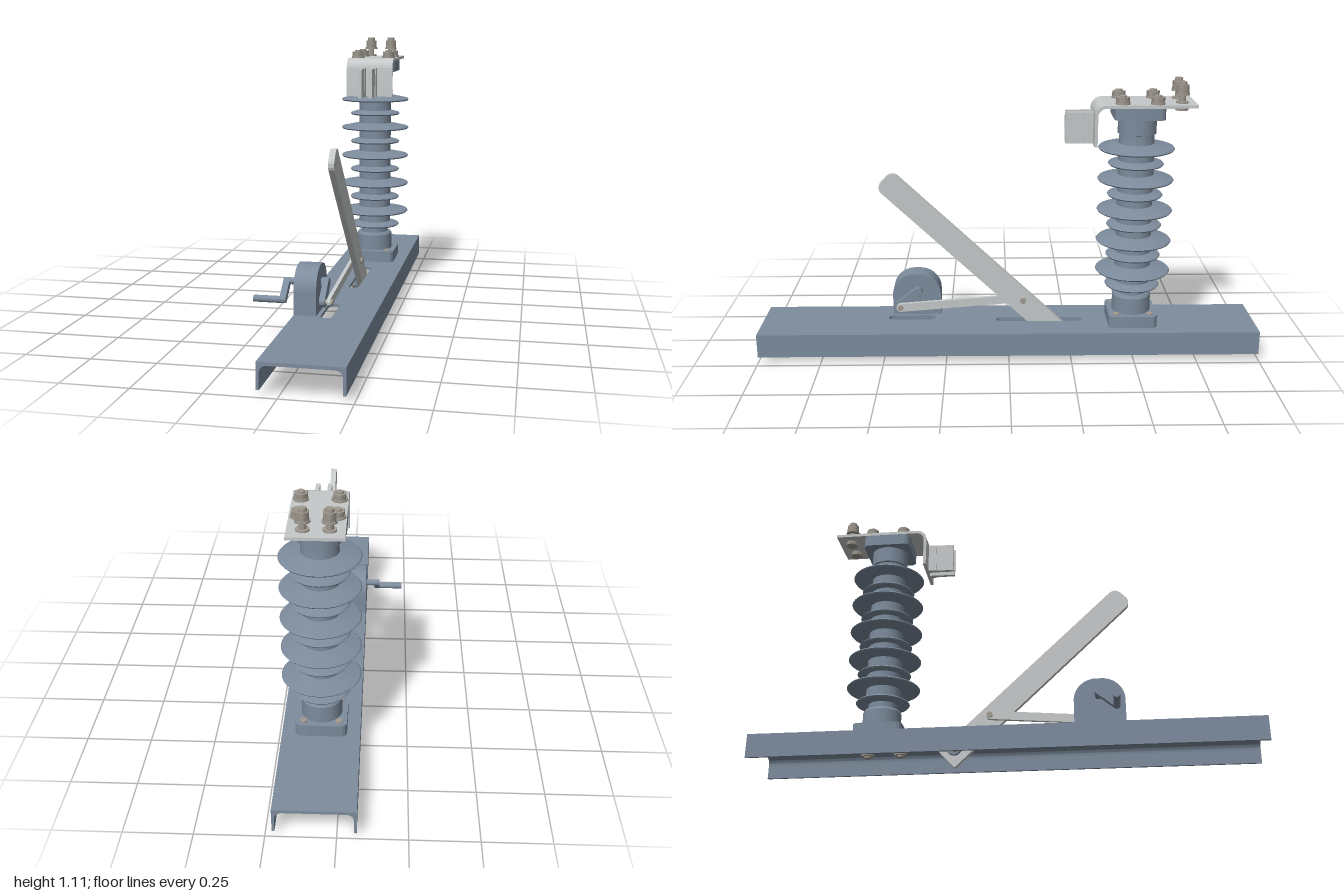
import * as THREE from 'three';
import { toCreasedNormals } from 'three/addons/utils/BufferGeometryUtils.js';

const mat = (name, color) => Object.assign(new THREE.MeshStandardMaterial({ color }), { name });

export function createModel() {
  const root = new THREE.Group();
  root.name = 'disconnectSwitch';
  const blue = mat('blueGreyPaint', 0x7d8c9d);
  const light = mat('lightMetal', 0xc6c9ca);
  const steel = mat('boltSteel', 0xa09a90);
  const CX = 0.0775, IZ = -0.5; // channel centre line, insulator position

  const add = (name, geo, material, x = 0, y = 0, z = 0, parent = root) => {
    const m = new THREE.Mesh(geo, material);
    m.name = name;
    m.position.set(x, y, z);
    parent.add(m);
    return m;
  };
  const extrude = (shape, depth) => {
    const g = new THREE.ExtrudeGeometry(shape, { depth, bevelEnabled: false, curveSegments: 12 });
    g.translate(0, 0, -depth / 2);
    return toCreasedNormals(g, 0.6);
  };
  // shape (z, y) extruded along x; shape (x, z) extruded along y
  const alongX = (shape, w) => extrude(shape, w).rotateY(-Math.PI / 2);
  const alongY = (shape, h) => extrude(shape, h).rotateX(Math.PI / 2);
  // rectangle with a radius for the low-y corners and one for the high-y corners
  const roundRect = (x0, y0, x1, y1, ra, rb = ra, P = THREE.Shape) => {
    const s = new P();
    s.moveTo(x0 + ra, y0);
    s.lineTo(x1 - ra, y0);
    if (ra) s.absarc(x1 - ra, y0 + ra, ra, -Math.PI / 2, 0);
    s.lineTo(x1, y1 - rb);
    if (rb) s.absarc(x1 - rb, y1 - rb, rb, 0, Math.PI / 2);
    s.lineTo(x0 + rb, y1);
    if (rb) s.absarc(x0 + rb, y1 - rb, rb, Math.PI / 2, Math.PI);
    s.lineTo(x0, y0 + ra);
    if (ra) s.absarc(x0 + ra, y0 + ra, ra, Math.PI, Math.PI * 1.5);
    return s;
  };
  // capsule shape between two (z, y) points
  const linkShape = (a, b, r) => {
    const t = Math.atan2(b[1] - a[1], b[0] - a[0]), s = new THREE.Shape();
    s.absarc(a[0], a[1], r, t + Math.PI / 2, t + Math.PI * 1.5);
    s.absarc(b[0], b[1], r, t - Math.PI / 2, t + Math.PI / 2);
    s.closePath();
    return s;
  };
  const cyl = (r, h, n = 24) => new THREE.CylinderGeometry(r, r, h, n);
  const rodX = (name, r, x0, x1, y, z, material, n) =>
    add(name, cyl(r, x1 - x0, n).rotateZ(Math.PI / 2), material, (x0 + x1) / 2, y, z);

  // Channel base: slotted web and two flanges with inner fillets
  const web = roundRect(-0.03, -1, 0.185, 1, 0);
  web.holes.push(roundRect(CX - 0.02, -0.3, CX + 0.02, 0.05, 0.02, 0.02, THREE.Path));
  web.holes.push(roundRect(0.03, 0.3, 0.075, 0.49, 0.02, 0.02, THREE.Path));
  add('channelWeb', alongY(web, 0.012), blue, 0, 0.114, 0);
  for (const side of [-1, 1]) {
    const X = (d) => side * (0.1475 - d);
    const s = new THREE.Shape();
    s.moveTo(X(0), 0.025);
    s.lineTo(X(0), 0.12);
    s.lineTo(X(0.04), 0.12);
    s.lineTo(X(0.04), 0.108);
    s.quadraticCurveTo(X(0.01), 0.108, X(0.01), 0.078);
    s.lineTo(X(0.01), 0.025);
    add('channelFlange', extrude(s, 2), blue, CX, 0, 0);
  }

  // Insulator: square feet and a lathed body with alternating sheds
  const foot = roundRect(-0.0975, -0.0975, 0.0975, 0.0975, 0.025);
  add('insulatorFoot', alongY(foot, 0.048), blue, CX, 0.144, IZ);
  add('insulatorCap', alongY(foot, 0.047), blue, CX, 0.9915, IZ);
  const profile = [[0, 0.165], [0.077, 0.165], [0.077, 0.235], [0.071, 0.245], [0.058, 0.245], [0.058, 0.272]];
  for (let i = 0; i < 10; i++) {
    const y = 0.28 + i * 0.0627, big = i % 2;
    const r = big ? 0.149 : 0.109;
    profile.push([0.07, y - 0.006], [r - 0.004, y - 0.007], [r, y - 0.002], [r - 0.004, y + 0.003],
      [0.07, y + (big ? 0.019 : 0.013)]);
  }
  profile.push([0.068, 0.895], [0.068, 0.9], [0.075, 0.902], [0.075, 0.97], [0, 0.97]);
  const body = new THREE.LatheGeometry(profile.map(([r, y]) => new THREE.Vector2(r, y)), 48);
  add('insulatorBody', toCreasedNormals(body, 0.5), blue, CX, 0, IZ);

  // Bent terminal plate
  const plate = new THREE.Shape();
  plate.moveTo(-0.716, 1.015);
  plate.lineTo(-0.37, 1.015);
  plate.absarc(-0.37, 0.983, 0.032, Math.PI / 2, 0, true);
  plate.lineTo(-0.338, 0.866);
  plate.lineTo(-0.326, 0.866);
  plate.lineTo(-0.326, 0.983);
  plate.absarc(-0.37, 0.983, 0.044, 0, Math.PI / 2);
  plate.lineTo(-0.716, 1.027);
  add('terminalPlate', alongX(plate, 0.198), light, CX + 0.001, 0, 0);

  // Pair of contact jaws
  for (const s of [-1, 1]) {
    add('contactJaw', new THREE.BoxGeometry(0.015, 0.122, 0.11), light, CX + s * 0.022, 0.927, -0.275);
    add('jawFoot', new THREE.BoxGeometry(0.02, 0.122, 0.035), light, CX + s * 0.0235, 0.927, -0.31);
  }

  // Fasteners on the insulator
  const bolt = (name, x, y, z, dir) => {
    const g = new THREE.Group();
    g.name = name;
    g.position.set(x, y, z);
    add('washer', cyl(0.028, 0.007), steel, 0, dir * 0.0035, 0, g);
    add('hexHead', cyl(0.026, 0.02, 6), steel, 0, dir * 0.017, 0, g);
    add('shankEnd', cyl(0.014, 0.007), steel, 0, dir * 0.03, 0, g);
    root.add(g);
  };
  for (const sx of [-1, 1]) {
    for (const sz of [-1, 1]) {
      const x = CX + sx * 0.067, z = IZ + sz * 0.067;
      bolt('topBolt', x, 1.027, z, 1);
      bolt('baseBolt', x, 0.108, z, -1);
      add('footStud', cyl(0.014, 0.008), steel, x, 0.168, z);
    }
    // Terminal studs with nuts
    const x = CX + sx * 0.045, z = -0.662;
    add('terminalStud', cyl(0.013, 0.1), steel, x, 1.06, z);
    add('studHead', cyl(0.026, 0.016, 6), steel, x, 1.007, z);
    add('studLowerWasher', cyl(0.024, 0.007), steel, x, 1.03, z);
    add('studUpperWasher', cyl(0.027, 0.007), steel, x, 1.062, z);
    add('studNut', cyl(0.025, 0.032, 6), steel, x, 1.081, z);
    add('studTip', cyl(0.016, 0.012), steel, x, 1.102, z);
  }

  // Swinging blade
  const blade = alongX(roundRect(0, 0, 0.095, 0.995, 0, 0.032), 0.022);
  const lever = add('switchBlade', blade, light, CX + 0.001, 0, -0.2);
  lever.rotation.x = THREE.MathUtils.degToRad(46.6);
  lever.geometry.translate(0, 0, -0.095);

  // Pivot lugs and pin under the web
  for (const s of [-1, 1]) {
    const lug = linkShape([-0.2, 0.075], [-0.2, 0.077], 0.03);
    add('pivotLug', alongX(lug, 0.016), blue, CX + s * 0.029, 0, 0);
    add('pivotLugTop', new THREE.BoxGeometry(0.016, 0.036, 0.06), blue, CX + s * 0.029, 0.092, -0.2);
  }
  rodX('pivotPin', 0.013, CX - 0.048, CX + 0.048, 0.072, -0.2, steel);
  for (const s of [-1, 1]) {
    rodX('pivotPinHead', 0.02, CX + s * 0.042 - 0.004, CX + s * 0.042 + 0.004, 0.072, -0.2, steel, 6);
  }

  // Gear housing with arched top
  add('gearHousing', alongX(roundRect(0.278, 0.118, 0.475, 0.295, 0, 0.088), 0.085), blue, -0.0275, 0, 0);

  // Hand crank outside, drive crank and link rod inside
  const hub = [0.372, 0.222], pin = [0.441, 0.167];
  rodX('crankShaft', 0.013, -0.12, 0.02, hub[1], hub[0], blue);
  add('crankArm', alongX(linkShape(hub, pin, 0.013), 0.024), blue, -0.118, 0, 0);
  rodX('crankGrip', 0.013, -0.23, -0.11, pin[1], pin[0], blue);
  rodX('driveShaft', 0.02, 0.012, 0.035, hub[1], hub[0], blue);
  add('driveArm', alongX(linkShape(hub, pin, 0.02), 0.022), blue, 0.033, 0, 0);
  add('linkRod', alongX(linkShape(pin, [-0.06, 0.207], 0.017), 0.014), light, 0.058, 0, 0);
  rodX('drivePin', 0.011, 0.02, 0.072, pin[1], pin[0], steel);
  rodX('linkPin', 0.012, 0.045, 0.098, 0.207, -0.06, steel);
  return root;
}
